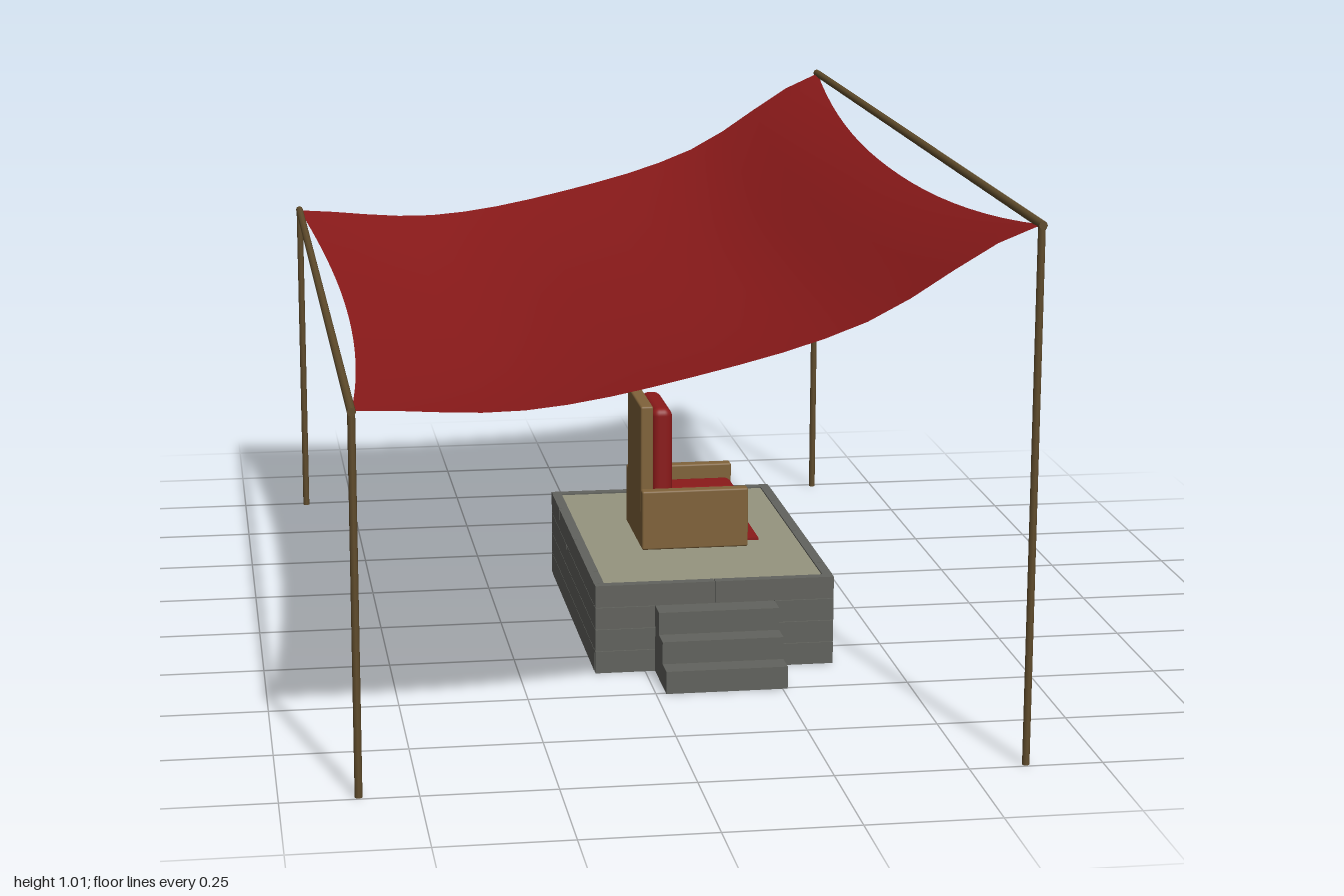
import * as THREE from 'three';
import { RoundedBoxGeometry } from 'three/addons/geometries/RoundedBoxGeometry.js';

const mat = (color, side = THREE.FrontSide) => new THREE.MeshStandardMaterial({ color, side });

export function createModel() {
  const model = new THREE.Group();
  const cloth = mat(0x8b1a1a, THREE.DoubleSide), cushion = mat(0x8b1a1a);
  const wood = mat(0x80633a), pole = mat(0x604c2c);
  const stone = mat(0x62635e), floor = mat(0x96947f);

  const group = (name, parent = model) => {
    const g = new THREE.Group();
    g.name = name;
    parent.add(g);
    return g;
  };
  const add = (parent, name, geometry, material, x = 0, y = 0, z = 0) => {
    const mesh = new THREE.Mesh(geometry, material);
    mesh.name = name;
    mesh.position.set(x, y, z);
    parent.add(mesh);
    return mesh;
  };
  // Box given by its minimum and maximum corners
  const box = (parent, name, material, [x0, y0, z0], [x1, y1, z1], radius = 0) => {
    const size = [x1 - x0, y1 - y0, z1 - z0];
    const geometry = radius
      ? new RoundedBoxGeometry(...size, 3, radius)
      : new THREE.BoxGeometry(...size);
    return add(parent, name, geometry, material, (x0 + x1) / 2, (y0 + y1) / 2, (z0 + z1) / 2);
  };

  // Frame: tall posts on one long side, short posts on the other, a rail on each
  const frame = group('canopyFrame');
  for (const [x, h] of [[-0.608, 0.705], [0.608, 1.0]]) {
    for (const z of [-0.99, 0.99]) {
      add(frame, 'post', new THREE.CylinderGeometry(0.007, 0.007, h, 8), pole, x, h / 2, z);
    }
    const rail = add(frame, 'rail', new THREE.CylinderGeometry(0.008, 0.008, 2, 8), pole, x, h, 0);
    rail.rotation.x = Math.PI / 2;
  }

  // Canopy: sheet hung from four corners, sagging between them
  const profile = (heights) =>
    new THREE.SplineCurve(heights.map((y, i) => new THREE.Vector2(i / 2 - 1, y)));
  const endEdge = profile([0.705, 0.69, 0.74, 0.83, 1.0]);
  const middle = profile([0.675, 0.636, 0.69, 0.772, 0.94]);
  const sheet = new THREE.PlaneGeometry(2, 2, 16, 20).rotateX(-Math.PI / 2);
  const p = sheet.attributes.position;
  for (let i = 0; i < p.count; i++) {
    const u = p.getX(i), v = p.getZ(i), t = (u + 1) / 2;
    const y = THREE.MathUtils.lerp(middle.getPoint(t).y, endEdge.getPoint(t).y, Math.abs(v) ** 2.2);
    p.setXYZ(i, u * (0.608 - 0.05 * (1 - v * v)), y, v * (0.99 - 0.03 * (1 - u * u)));
  }
  sheet.computeVertexNormals();
  add(model, 'canopy', sheet, cloth);

  // Platform: floor slab inside a wall of staggered stone blocks
  const platform = group('platform');
  const X0 = -0.1, X1 = 0.38, Z = 0.36, H = 0.045, wall = 0.02, gap = 0.0006;
  box(platform, 'floor', floor, [X0 + wall, 0.001, -Z + wall], [X1 - wall, 0.177, Z - wall]);
  const course = (start, end, shifted) => {
    const cuts = [start];
    for (let c = start + (shifted ? 0.12 : 0.24); c < end - 0.01; c += 0.24) cuts.push(c);
    cuts.push(end);
    return cuts.slice(1).map((c, i) => [cuts[i] + gap, c - gap]);
  };
  for (let row = 0; row < 4; row++) {
    const y0 = row * H + (row ? gap : 0), y1 = (row + 1) * H - (row < 3 ? gap : 0);
    for (const [a, b] of course(X0, X1, row % 2 === 0)) {
      for (const z of [-Z, Z - wall]) box(platform, 'block', stone, [a, y0, z], [b, y1, z + wall]);
    }
    for (const [a, b] of course(-Z + wall, Z - wall, row % 2 === 1)) {
      for (const x of [X0, X1 - wall]) box(platform, 'block', stone, [x, y0, a], [x + wall, y1, b]);
    }
  }

  // Steps up the front of the platform
  const steps = group('steps');
  for (let i = 0; i < 3; i++) {
    box(steps, 'step', stone, [0.02, i * H, Z], [0.26, (i + 1) * H, 0.505 - i * 0.048]);
  }

  // Seat with its back towards -x
  const seat = group('seat');
  const base = 0.178;
  box(seat, 'backrest', wood, [0.03, base, -0.093], [0.056, 0.475, 0.093], 0.004);
  for (const s of [-1, 1]) {
    const [a, b] = [s * 0.09, s * 0.115].sort((m, n) => m - n);
    box(seat, 'armrest', wood, [0.03, base, a], [0.25, 0.302, b], 0.004);
    const [c, d] = [0, s * 0.089].sort((m, n) => m - n);
    box(seat, 'seatCushion', cushion, [0.056, base, c], [0.248, 0.275, d], 0.016);
  }
  box(seat, 'footMat', cushion, [0.24, base, -0.07], [0.28, 0.183, 0.07]);

  // Back cushion: rounded slab whose face bulges forward
  const pad = new RoundedBoxGeometry(0.04, 0.21, 0.168, 5, 0.016);
  const pp = pad.attributes.position;
  for (let i = 0; i < pp.count; i++) {
    if (pp.getX(i) > 0) pp.setX(i, pp.getX(i) + 0.011 * (1 - (pp.getY(i) / 0.105) ** 2));
  }
  add(seat, 'backCushion', pad, cushion, 0.075, 0.362, 0);

  return model;
}
